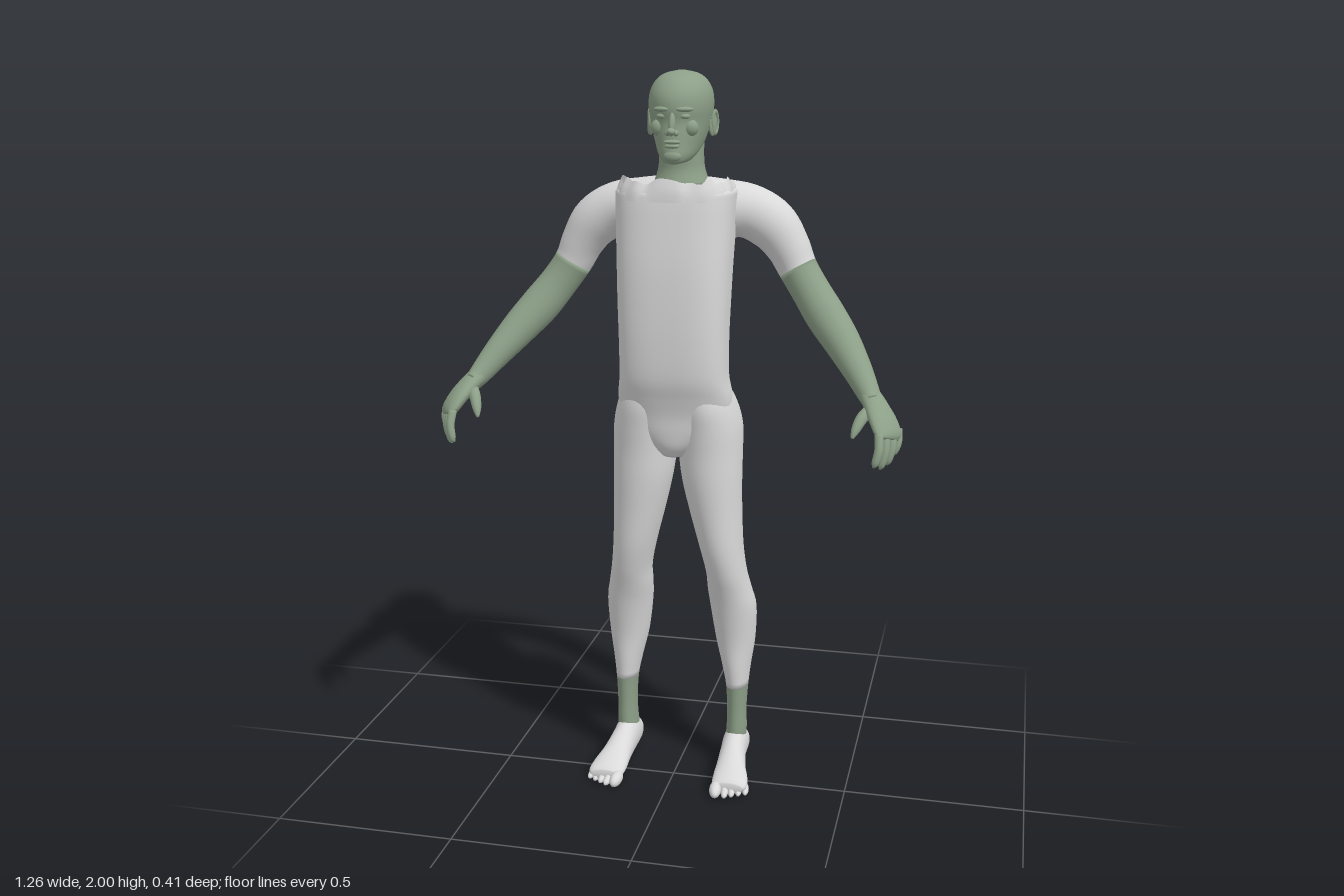
import * as THREE from 'three';

const skin = new THREE.MeshStandardMaterial({ color: 0x8c9f87 });
skin.name = 'sage green';
const cloth = new THREE.MeshStandardMaterial({ color: 0xd9d9d9, side: THREE.DoubleSide });
cloth.name = 'pale grey';

const V3 = (x, y, z) => new THREE.Vector3(x, y, z);

// Smoothly resample sections [x, y, z, ru, rv, power] along their path
function sample(rows, steps, axis) {
  const path = new THREE.CatmullRomCurve3(rows.map(r => V3(r[0], r[1], r[2])), false, 'catmullrom');
  const size = new THREE.CatmullRomCurve3(rows.map(r => V3(r[3], r[4], r[5] ?? 2)), false, 'catmullrom');
  const out = [], n = (rows.length - 1) * steps;
  for (let i = 0; i <= n; i++) {
    out.push({ c: path.getPoint(i / n), s: size.getPoint(i / n), t: axis ?? path.getTangent(i / n) });
  }
  return out;
}

// Skin superelliptical rings; hint gives the direction of the rv radius
function skinRings(rings, hint, seg = 32, caps = true) {
  const pos = [], idx = [];
  for (const { c, s, t } of rings) {
    const v = hint.clone().addScaledVector(t, -hint.dot(t)).normalize();
    const u = t.clone().cross(v);
    for (let j = 0; j < seg; j++) {
      const a = j / seg * Math.PI * 2, e = 2 / s.z;
      const cu = Math.sign(Math.cos(a)) * Math.abs(Math.cos(a)) ** e * s.x;
      const cv = Math.sign(Math.sin(a)) * Math.abs(Math.sin(a)) ** e * s.y;
      pos.push(...c.clone().addScaledVector(u, cu).addScaledVector(v, cv).toArray());
    }
  }
  const last = (rings.length - 1) * seg;
  for (let i = 0; i < last; i += seg) {
    for (let j = 0; j < seg; j++) {
      const k = (j + 1) % seg;
      idx.push(i + j, i + seg + j, i + k, i + k, i + seg + j, i + seg + k);
    }
  }
  if (caps) {
    const a = pos.length / 3, b = a + 1;
    pos.push(...rings[0].c.toArray(), ...rings.at(-1).c.toArray());
    for (let j = 0; j < seg; j++) {
      const k = (j + 1) % seg;
      idx.push(a, j, k, b, last + k, last + j);
    }
  }
  const g = new THREE.BufferGeometry();
  g.setAttribute('position', new THREE.Float32BufferAttribute(pos, 3));
  g.setIndex(idx);
  g.computeVertexNormals();
  return g;
}

const UP = V3(0, 1, 0), FWD = V3(0, 0, 1);

export function createModel() {
  const model = new THREE.Group();
  const add = (name, geo, mat) => {
    const m = new THREE.Mesh(geo, mat);
    m.name = name;
    model.add(m);
    return m;
  };
  const blob = (name, mat, p, r, rx = 0, ry = 0, rz = 0) => {
    const m = add(name, new THREE.SphereGeometry(1, 20, 14), mat);
    m.position.set(...p);
    m.scale.set(...r);
    m.rotation.set(rx, ry, rz);
  };
  // Upright row from height, half width, front z and back z
  const up = (y, rx, zf, zb, n = 2) => [0, y, (zf + zb) / 2, rx, (zf - zb) / 2, n];

  // Torso with a shallow groove down the spine
  const torso = skinRings(sample([
    up(0.97, 0.04, 0.025, -0.08), up(1.0, 0.08, 0.045, -0.11), up(1.04, 0.13, 0.054, -0.12),
    up(1.09, 0.155, 0.06, -0.125, 2.2), up(1.14, 0.157, 0.073, -0.12, 2.5), up(1.2, 0.148, 0.09, -0.108, 2.8),
    up(1.3, 0.147, 0.098, -0.112, 3), up(1.4, 0.15, 0.1, -0.122, 3), up(1.5, 0.153, 0.098, -0.138, 3),
    up(1.6, 0.157, 0.09, -0.158, 3), up(1.67, 0.16, 0.083, -0.17, 3), up(1.695, 0.157, 0.076, -0.165, 3),
    up(1.705, 0.13, 0.055, -0.14, 3),
  ], 4, UP), FWD, 64);
  const p = torso.attributes.position;
  for (let i = 0; i < p.count; i++) {
    const y = p.getY(i);
    if (p.getZ(i) < -0.08 && y > 1.1 && y < 1.68) {
      const fade = Math.sin((y - 1.1) / 0.58 * Math.PI);
      p.setZ(i, p.getZ(i) + 0.018 * fade * Math.exp(-((p.getX(i) / 0.035) ** 2)));
    }
  }
  torso.computeVertexNormals();
  add('torso', torso, cloth);

  // Uneven open collar around the front of the chest
  const collar = new THREE.PlaneGeometry(1, 1, 60, 3);
  const q = collar.attributes.position;
  for (let i = 0; i < q.count; i++) {
    const a = (q.getX(i) + 0.5) * 1.1 * Math.PI - 0.05 * Math.PI, h = q.getY(i) + 0.5;
    const c = Math.cos(a), s = Math.sin(a), r = 1.0 - 0.1 * h * h;
    q.setXYZ(i, -Math.sign(c) * Math.abs(c) ** 0.667 * 0.16 * r,
      1.67 + h * (0.052 + 0.006 * Math.sin(a * 9) + 0.004 * Math.sin(a * 17 + 1)),
      -0.045 + Math.sign(s) * Math.abs(s) ** 0.667 * 0.128 * r + 0.004 * h * Math.sin(a * 13));
  }
  collar.computeVertexNormals();
  add('collar', collar, cloth);

  // Neck and head
  add('neck', skinRings(sample([
    up(1.7, 0.078, -0.02, -0.18), up(1.74, 0.064, -0.032, -0.167), up(1.78, 0.06, -0.03, -0.165), up(1.85, 0.06, -0.03, -0.18),
  ], 4, UP), FWD), skin);
  const head = skinRings(sample([
    up(1.762, 0.012, 0.01, -0.02), up(1.768, 0.034, 0.02, -0.08), up(1.785, 0.05, 0.024, -0.13),
    up(1.81, 0.062, 0.021, -0.172), up(1.84, 0.072, 0.018, -0.19), up(1.87, 0.08, 0.015, -0.204),
    up(1.9, 0.085, 0.02, -0.21), up(1.93, 0.085, 0.017, -0.208), up(1.955, 0.079, 0.004, -0.199),
    up(1.977, 0.065, -0.019, -0.178), up(1.992, 0.043, -0.05, -0.15), up(2.0, 0.008, -0.09, -0.11),
  ], 4, UP), FWD, 48);
  add('head', head, skin);
  blob('noseBridge', skin, [0, 1.866, 0.02], [0.009, 0.032, 0.014], -0.25);
  blob('noseTip', skin, [0, 1.847, 0.031], [0.012, 0.01, 0.014]);
  blob('upperLip', skin, [0, 1.82, 0.02], [0.024, 0.006, 0.011]);
  blob('lowerLip', skin, [0, 1.809, 0.02], [0.02, 0.006, 0.01]);
  blob('chin', skin, [0, 1.783, 0.014], [0.024, 0.016, 0.013]);

  for (const s of [1, -1]) {
    const side = s > 0 ? 'left' : 'right';
    const flip = rows => rows.map(([x, ...r]) => [x * s, ...r]);

    // Face details and ears
    blob(side + 'Nostril', skin, [s * 0.011, 1.843, 0.022], [0.008, 0.008, 0.01]);
    blob(side + 'Eye', skin, [s * 0.032, 1.885, 0.006], [0.014, 0.007, 0.009], 0, s * 0.3);
    blob(side + 'Brow', skin, [s * 0.031, 1.903, 0.009], [0.024, 0.007, 0.011], 0, s * 0.35);
    blob(side + 'Cheek', skin, [s * 0.042, 1.855, -0.012], [0.022, 0.022, 0.018]);
    blob(side + 'Ear', skin, [s * 0.084, 1.862, -0.1], [0.008, 0.034, 0.018], -0.2, s * -0.3);
    const rim = add(side + 'EarRim', new THREE.TorusGeometry(0.016, 0.004, 8, 20), skin);
    rim.position.set(s * 0.09, 1.865, -0.102);
    rim.rotation.set(0, Math.PI / 2 - s * 0.3, 0);
    rim.scale.set(0.95, 1.75, 1);

    // Arm: clothed shoulder, bare forearm
    const arm = sample(flip([
      [0, 1.643, -0.11, 0.085, 0.083], [0.1, 1.637, -0.115, 0.08, 0.083], [0.18, 1.63, -0.122, 0.073, 0.075],
      [0.243, 1.595, -0.125, 0.07, 0.07], [0.285, 1.54, -0.13, 0.06, 0.065], [0.315, 1.48, -0.13, 0.053, 0.06],
      [0.355, 1.42, -0.113, 0.052, 0.055], [0.4, 1.36, -0.083, 0.054, 0.053], [0.45, 1.3, -0.043, 0.049, 0.05],
      [0.5, 1.235, 0.01, 0.039, 0.042], [0.535, 1.185, 0.055, 0.03, 0.033], [0.55, 1.165, 0.075, 0.025, 0.034],
    ]), 5);
    add(side + 'Sleeve', skinRings(arm.slice(0, 26), FWD, 32, false), cloth);
    add(side + 'Forearm', skinRings(arm.slice(25), FWD), skin);

    // Hand
    add(side + 'Palm', skinRings(sample(flip([
      [0.535, 1.185, 0.055, 0.026, 0.03], [0.558, 1.16, 0.085, 0.024, 0.038], [0.58, 1.13, 0.115, 0.022, 0.047],
      [0.596, 1.1, 0.137, 0.018, 0.049], [0.598, 1.086, 0.143, 0.01, 0.042],
    ]), 4), V3(-0.5 * s, 0, 0.86), 24), skin);
    const finger = (name, rows) => add(name, skinRings(sample(flip(rows), 4), V3(-0.5 * s, 0, 0.86), 12), skin);
    const drop = [0.072, 0.082, 0.076, 0.055];
    ['Index', 'Middle', 'Ring', 'Little'].forEach((n, i) => {
      const x = 0.576 + i * 0.0145, z = 0.176 - i * 0.0245, r = i === 3 ? 0.0095 : 0.0115, d = drop[i];
      finger(side + n + 'Finger', [
        [x, 1.105, z - 0.008, r, r], [x + 0.002, 1.098 - d * 0.4, z + 0.009, r, r],
        [x - 0.005, 1.098 - d * 0.85, z + 0.016, r * 0.85, r * 0.85], [x - 0.01, 1.096 - d, z + 0.016, r * 0.3, r * 0.3],
      ]);
    });
    finger(side + 'Thumb', [
      [0.55, 1.155, 0.085, 0.017, 0.017], [0.528, 1.137, 0.122, 0.016, 0.016],
      [0.514, 1.11, 0.148, 0.012, 0.012], [0.507, 1.09, 0.162, 0.004, 0.004],
    ]);

    // Leg: bare ankle, clothed calf, thigh and buttock
    const leg = sample(flip([
      [0.163, 0.09, -0.118, 0.03, 0.048], [0.165, 0.13, -0.115, 0.029, 0.045], [0.165, 0.18, -0.112, 0.028, 0.042],
      [0.165, 0.255, -0.115, 0.032, 0.05], [0.162, 0.32, -0.118, 0.042, 0.058], [0.158, 0.4, -0.12, 0.057, 0.065],
      [0.153, 0.5, -0.108, 0.066, 0.072], [0.145, 0.56, -0.09, 0.063, 0.071], [0.138, 0.62, -0.072, 0.058, 0.073],
      [0.125, 0.7, -0.06, 0.062, 0.08], [0.11, 0.8, -0.055, 0.073, 0.086], [0.098, 0.9, -0.052, 0.084, 0.093],
      [0.093, 0.98, -0.058, 0.089, 0.104], [0.09, 1.05, -0.063, 0.09, 0.117], [0.084, 1.11, -0.052, 0.082, 0.113],
      [0.075, 1.16, -0.035, 0.07, 0.09], [0.07, 1.19, -0.025, 0.045, 0.06],
    ]), 4, UP);
    add(side + 'Ankle', skinRings(leg.slice(0, 13), FWD, 32, false), skin);
    add(side + 'Leg', skinRings(leg.slice(12), FWD), cloth);

    // Foot and toes
    add(side + 'Foot', skinRings(sample(flip([
      [0.163, 0.052, -0.192, 0.006, 0.008], [0.163, 0.053, -0.182, 0.026, 0.032], [0.163, 0.06, -0.15, 0.035, 0.046],
      [0.163, 0.066, -0.11, 0.037, 0.054], [0.165, 0.06, -0.06, 0.037, 0.051], [0.171, 0.047, 0, 0.042, 0.039],
      [0.178, 0.036, 0.05, 0.05, 0.028], [0.181, 0.03, 0.085, 0.05, 0.021], [0.181, 0.027, 0.1, 0.04, 0.014],
    ]), 4, FWD), UP), cloth);
    for (let i = 0; i < 5; i++) {
      const r = i ? 0.0115 - i * 0.0005 : 0.017;
      blob(side + 'Toe' + (i + 1), cloth, [s * (i ? 0.152 + i * 0.0185 : 0.145), 0.004 + r * 1.1, 0.106 - i * 0.0085],
        [r, r * 1.1, 0.034 - i * 0.002], 0.12, s * 0.1);
    }
  }
  return model;
}
